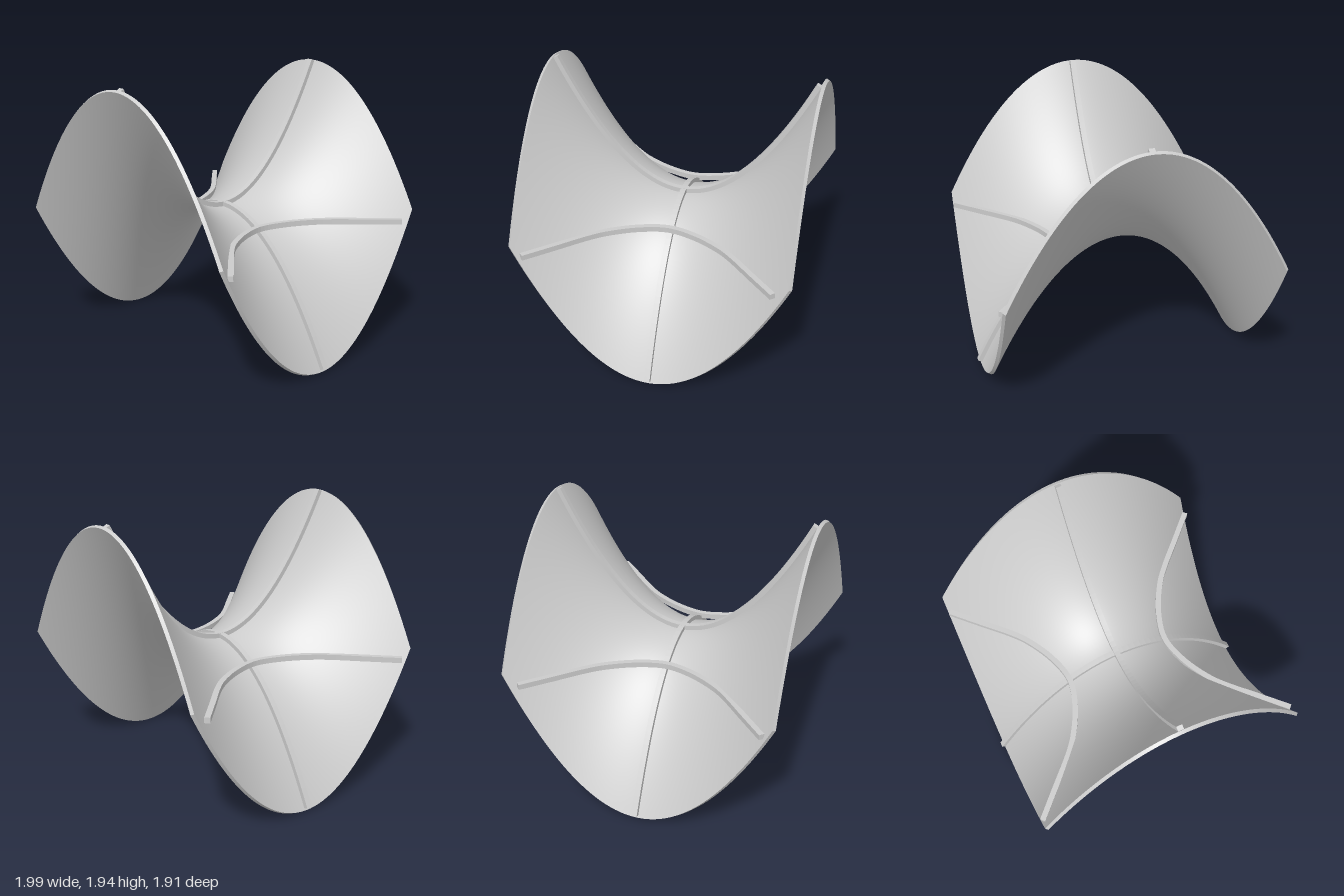
import * as THREE from 'three';

const HALF = 0.953, RISE = 1.057, MID = 0.96, THICK = 0.025;

// Point on the saddle at (u, v), lifted by d along the surface normal
function saddle(u, v, d) {
  const n = new THREE.Vector3(2 * RISE * u, 1, -2 * RISE * v).normalize();
  return new THREE.Vector3(u, MID + RISE * (v * v - u * u), v).addScaledVector(n, d);
}

export function createModel() {
  const model = new THREE.Group();
  const material = new THREE.MeshStandardMaterial({ color: 0xcccccc });

  function add(name, geometry) {
    const mesh = new THREE.Mesh(geometry, material);
    mesh.name = name;
    model.add(mesh);
  }

  // Square bar swept along a path
  function bar(name, points, size) {
    const h = size / 2;
    const section = new THREE.Shape([
      new THREE.Vector2(-h, -h), new THREE.Vector2(h, -h),
      new THREE.Vector2(h, h), new THREE.Vector2(-h, h),
    ]);
    add(name, new THREE.ExtrudeGeometry(section, {
      steps: 64, bevelEnabled: false, extrudePath: new THREE.CatmullRomCurve3(points),
    }));
  }

  // Curved shell: a thin slab bent into a saddle
  const shell = new THREE.BoxGeometry(2 * HALF, 1, 2 * HALF, 64, 1, 64);
  const pos = shell.attributes.position;
  for (let i = 0; i < pos.count; i++) {
    const p = saddle(pos.getX(i), pos.getZ(i), pos.getY(i) > 0 ? THICK : 0);
    pos.setXYZ(i, p.x, p.y, p.z);
  }
  shell.computeVertexNormals();
  add('saddleShell', shell);

  // Two ribs lying on the shell and crossing at the middle
  const across = [], along = [];
  for (let i = -16; i <= 16; i++) {
    across.push(saddle((i / 16) * 0.946, 0, 0.037));
    along.push(saddle(0, (i / 16) * 0.95, 0.037));
  }
  bar('crossRib', across, 0.04);
  bar('lengthRib', along, 0.04);

  // Level contour bars, one on each side
  const half = [[0.425, 0.2], [0.535, 0.405], [0.617, 0.505], [0.79, 0.678], [0.96, 0.849]];
  const contour = [
    ...half.map(([x, z]) => [x, -z]).reverse(), [0.377, 0], ...half,
  ];
  for (const side of [1, -1]) {
    bar(side > 0 ? 'leftContourBar' : 'rightContourBar',
      contour.map(([x, z]) => new THREE.Vector3(side * x, 0.897, z + 0.017)), 0.038);
  }

  return model;
}
